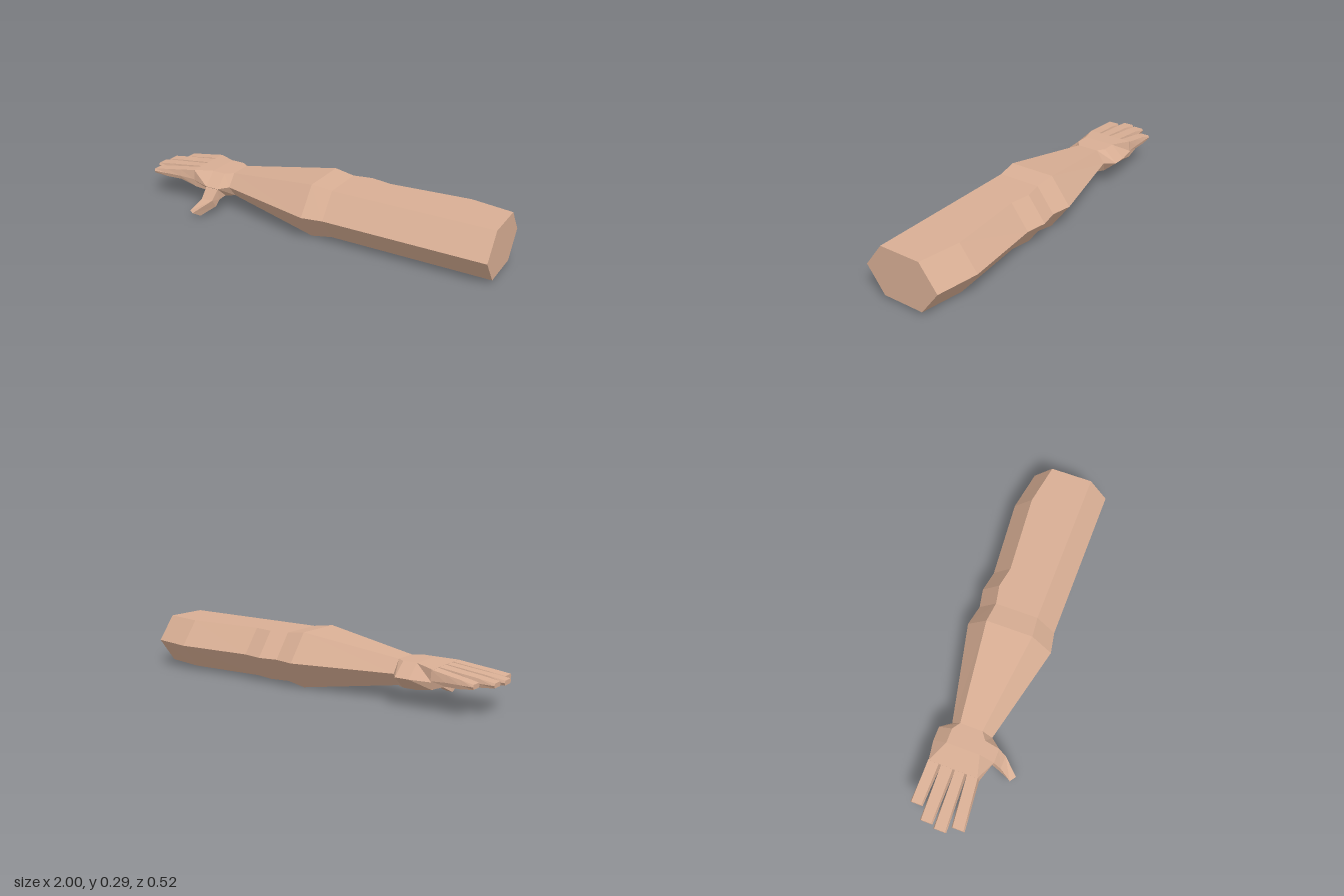
import * as THREE from 'three';

// Joins matching rings of points into a closed, faceted solid.
// Points run clockwise as seen from behind the first ring.
function loft(rings) {
  const pos = [];
  const tri = (a, b, c) => pos.push(...a, ...b, ...c);
  const n = rings[0].length;
  for (let r = 0; r < rings.length - 1; r++) {
    const a = rings[r], b = rings[r + 1];
    for (let i = 0; i < n; i++) {
      const j = (i + 1) % n;
      tri(a[i], a[j], b[j]);
      tri(a[i], b[j], b[i]);
    }
  }
  const first = rings[0], last = rings[rings.length - 1];
  for (let i = 1; i < n - 1; i++) {
    tri(first[0], first[i + 1], first[i]);
    tri(last[0], last[i], last[i + 1]);
  }
  const geo = new THREE.BufferGeometry();
  geo.setAttribute('position', new THREE.Float32BufferAttribute(pos, 3));
  geo.computeVertexNormals();
  return geo;
}

// Six-sided section across x: heights, then side corners and flat edges in z
function hex(x, bottom, mid, top, backTip, backFlat, frontFlat, frontTip) {
  return [
    [x, mid, frontTip], [x, top, frontFlat], [x, top, backFlat],
    [x, mid, backTip], [x, bottom, backFlat], [x, bottom, frontFlat],
  ];
}

export function createModel() {
  const group = new THREE.Group();
  const skin = new THREE.MeshStandardMaterial({ color: 0xd8ae94 });
  skin.name = 'skin';
  skin.flatShading = true;
  const add = (name, rings) => {
    const mesh = new THREE.Mesh(loft(rings), skin);
    mesh.name = name;
    group.add(mesh);
  };

  // Upper arm, elbow and forearm
  const m = 0.145;
  const wrist = hex(-0.485, 0.08, m, 0.21, -0.125, -0.078, 0.04, 0.09);
  add('arm', [
    hex(1, 0.015, m, 0.272, -0.225, -0.127, 0.095, 0.192),
    hex(0.78, 0.015, m, 0.272, -0.262, -0.165, 0.095, 0.192),
    hex(0.36, 0.015, m, 0.272, -0.225, -0.13, 0.095, 0.192),
    hex(0.25, 0.015, m, 0.272, -0.245, -0.15, 0.095, 0.192),
    hex(0.15, 0.015, m, 0.272, -0.225, -0.13, 0.095, 0.192),
    hex(0.04, 0, m, 0.286, -0.247, -0.14, 0.107, 0.213),
    wrist,
  ]);

  // Palm
  add('palm', [
    wrist,
    hex(-0.525, 0.08, m, 0.21, -0.18, -0.105, 0.07, 0.142),
    hex(-0.6, 0.08, m, 0.21, -0.18, -0.105, 0.07, 0.142),
    hex(-0.71, 0.107, m, 0.203, -0.163, -0.155, 0.1, 0.107),
  ]);

  // Fingers: tip x, then back and front z at the knuckle and at the tip
  const fingers = [
    ['indexFinger', -0.965, 0.04, 0.107, 0.065, 0.133],
    ['middleFinger', -1, -0.022, 0.04, -0.015, 0.052],
    ['ringFinger', -0.985, -0.095, -0.022, -0.09, -0.025],
    ['littleFinger', -0.92, -0.163, -0.095, -0.167, -0.103],
  ];
  for (const [name, tip, rb, rf, tb, tf] of fingers) {
    const section = (t, bottom, mid, top) => {
      const b = THREE.MathUtils.lerp(rb, tb, t), f = THREE.MathUtils.lerp(rf, tf, t);
      return hex(THREE.MathUtils.lerp(-0.705, tip, t), bottom, mid, top, b, b + 0.006, f - 0.006, f);
    };
    add(name, [
      section(0, 0.108, 0.15, 0.203),
      section(0.35, 0.135, 0.155, 0.19),
      section(0.7, 0.135, 0.155, 0.178),
      section(1, 0.143, 0.155, 0.166),
    ]);
  }

  // Thumb, reaching forward and down
  add('thumb', [
    [[-0.525, 0.083, 0.07], [-0.525, 0.145, 0.09], [-0.6, 0.145, 0.09], [-0.6, 0.083, 0.07]],
    [[-0.525, 0.08, 0.13], [-0.525, 0.14, 0.142], [-0.6, 0.14, 0.142], [-0.6, 0.08, 0.13]],
    [[-0.535, 0.045, 0.15], [-0.535, 0.09, 0.18], [-0.605, 0.085, 0.18], [-0.6, 0.04, 0.15]],
    [[-0.59, 0.004, 0.217], [-0.607, 0.033, 0.262], [-0.638, 0.033, 0.24], [-0.62, 0.004, 0.215]],
  ]);

  return group;
}
